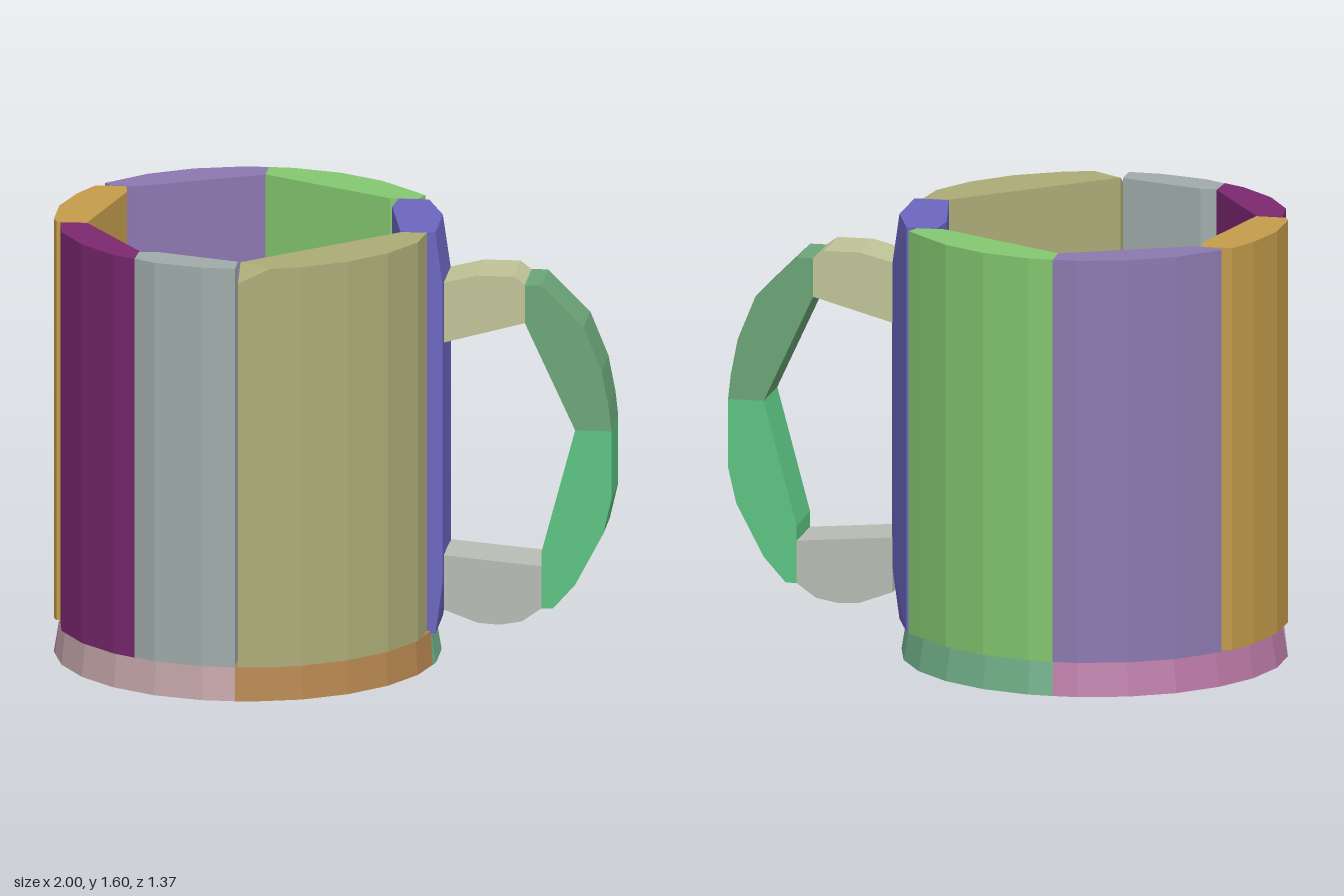
import * as THREE from 'three';
import { ConvexGeometry } from 'three/addons/geometries/ConvexGeometry.js';

const CX = -0.315, R = 0.69, SIDES = 24;   // round body of the mug
const FLOOR = 0.125, RIM = 1.595;

function addMesh(group, name, geometry, color) {
  const material = new THREE.MeshStandardMaterial({ color, flatShading: true });
  const mesh = new THREE.Mesh(geometry, material);
  mesh.name = name;
  group.add(mesh);
}

// Corners of the faceted circle lying between two [x, z] points, by growing angle
function arc(from, to) {
  const angle = ([x, z]) => Math.atan2(z, x - CX);
  const a = angle(from);
  const span = (angle(to) - a + 4 * Math.PI) % (2 * Math.PI);
  const points = [];
  for (let i = 0; i < SIDES; i++) {
    const t = ((i + 0.5) / SIDES) * 2 * Math.PI;
    const d = (t - a + 4 * Math.PI) % (2 * Math.PI);
    if (d > 0.03 && d < span - 0.03) points.push([CX + R * Math.cos(t), R * Math.sin(t)]);
  }
  return [from, ...points, to];
}

const layer = (points, y) => points.map(([x, z]) => new THREE.Vector3(x, y, z));

// Scale an outline about the axis of the mug
const shrink = (points, s) => points.map(([x, z]) => [CX + (x - CX) * s, z * s]);

export function createModel() {
  const model = new THREE.Group();
  const body = new THREE.Group();
  body.name = 'body';
  const handle = new THREE.Group();
  handle.name = 'handle';
  model.add(body, handle);

  // Wall staves: outer arc ends, then the inner corners
  const staves = [
    ['wallBackLeft', 0x84c870, [-0.315, -0.687], [0.28, -0.37], [[0.26, -0.32], [0.16, -0.315], [-0.315, -0.585]]],
    ['wallBackRight', 0x8c78b0, [-0.87, -0.41], [-0.315, -0.687], [[-0.315, -0.585], [-0.76, -0.375], [-0.85, -0.385]]],
    ['wallRight', 0xc49c4c, [-0.985, 0.125], [-0.9, -0.375], [[-0.79, -0.375], [-0.78, -0.3], [-0.875, 0.125]]],
    ['wallFrontRight', 0x7c2870, [-0.655, 0.595], [-0.97, 0.135], [[-0.875, 0.13], [-0.65, 0.485]]],
    ['wallFront', 0xa0acaa, [-0.285, 0.687], [-0.655, 0.59], [[-0.65, 0.5], [-0.59, 0.49], [-0.285, 0.59]]],
  ];
  for (const [name, color, from, to, inner] of staves) {
    const outline = [...arc(from, to), ...inner];
    addMesh(body, name, new ConvexGeometry([...layer(outline, FLOOR), ...layer(outline, RIM)]), color);
  }

  // Front left stave, with one top corner cut off
  const frontArc = arc([0.34, 0.13], [-0.16, 0.675]);
  const frontInner = [[0.25, 0.13], [-0.275, 0.595]];
  const cutCorner = [[-0.275, 0.685]];
  addMesh(body, 'wallFrontLeft', new ConvexGeometry([
    ...layer([...frontArc, ...frontInner, ...cutCorner], FLOOR),
    ...layer(cutCorner, 1.54),
    ...layer([...frontArc, ...frontInner], RIM),
  ]), 0xacac78);

  // Left stave, bulging out where the handle joins it
  const leftOutline = [[0.19, -0.315], [0.3, -0.315], [0.37, -0.12], [0.37, 0.125], [0.245, 0.125], [0.18, -0.2]];
  const bulge = [[0.403, -0.09], [0.395, 0.12]];
  addMesh(body, 'wallLeft', new ConvexGeometry([
    ...layer(leftOutline, 0.115), ...layer(bulge, 0.3),
    ...layer(bulge, 1.4), ...layer(leftOutline, RIM),
  ]), 0x6c66c0);

  // Base quarters, meeting near the middle of the floor and tapering slightly upward
  const right = [-0.99, 0.125], left = [0.36, 0.125], back = [CX, -0.687], front = [-0.285, 0.687];
  const quarters = [
    ['baseBackLeft', 0x70ae88, back, left, [CX, 0.125], 0.97],
    ['baseBackRight', 0xb878a4, right, back, [CX, 0.125], 0.97],
    ['baseFrontRight', 0xc4a4a8, front, right, [-0.285, 0.125], 0.98],
    ['baseFrontLeft', 0xb88850, left, front, [-0.285, 0.125], 0.99],
  ];
  for (const [name, color, from, to, corner, taper] of quarters) {
    const rim = arc(from, to);
    addMesh(body, name, new ConvexGeometry([
      ...layer([...rim, corner], 0),
      ...layer([...shrink(rim, taper), corner], FLOOR),
    ]), color);
  }

  // Handle segments: side outlines extruded across the grip
  const segments = [
    ['handleTop', 0xc0c498, [[0.4, 1.19], [0.69, 1.27], [0.69, 1.41], [0.65, 1.44], [0.52, 1.44], [0.4, 1.41]]],
    ['handleUpper', 0x6ca678, [[0.69, 1.27], [0.87, 0.88], [1, 0.88], [0.99, 0.97], [0.965, 1.1], [0.9, 1.26], [0.75, 1.41], [0.69, 1.41]]],
    ['handleLower', 0x5cc482, [[0.75, 0.43], [0.75, 0.22], [0.79, 0.22], [0.87, 0.31], [0.97, 0.5], [1, 0.63], [1, 0.88], [0.87, 0.88]]],
    ['handleBottom', 0xb8bcb4, [[0.4, 0.405], [0.4, 0.205], [0.52, 0.16], [0.6, 0.155], [0.68, 0.17], [0.75, 0.22], [0.75, 0.375]]],
  ];
  for (const [name, color, outline] of segments) {
    const shape = new THREE.Shape(outline.map(([x, y]) => new THREE.Vector2(x, y)));
    const geometry = new THREE.ExtrudeGeometry(shape, { depth: 0.22, bevelEnabled: false });
    geometry.translate(0, 0, -0.097);
    addMesh(handle, name, geometry, color);
  }

  return model;
}
